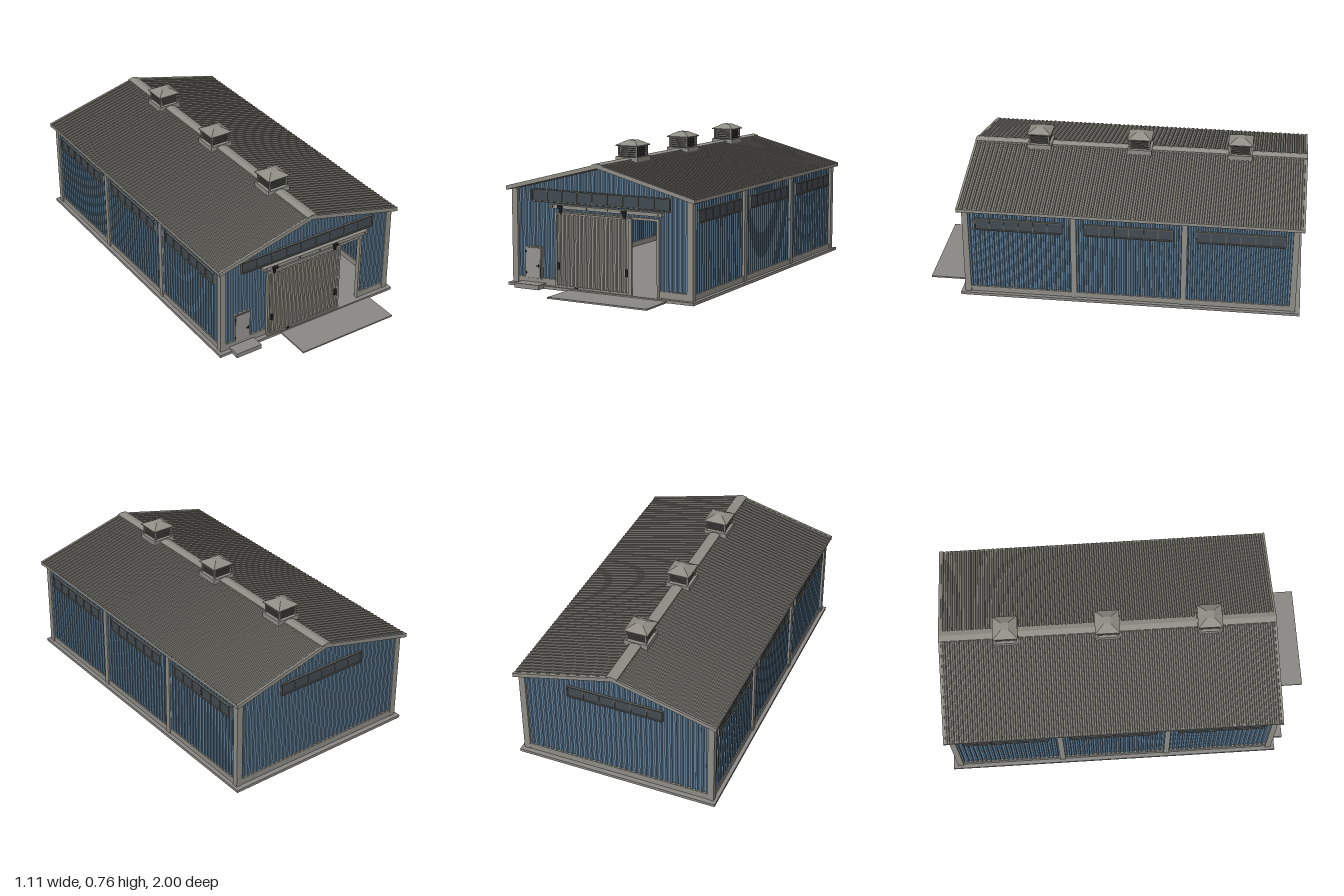
import * as THREE from 'three';

const mat = (name, color, side = THREE.FrontSide) => {
  const m = new THREE.MeshStandardMaterial({ color, side });
  m.name = name;
  return m;
};

export function createModel() {
  const M = {
    cladding: mat('blue cladding', 0x5f7c94, THREE.DoubleSide),
    trim: mat('grey trim', 0x8f8d85),
    roof: mat('roof sheet', 0x7c7a72, THREE.DoubleSide),
    door: mat('door sheet', 0x8f8c83, THREE.DoubleSide),
    concrete: mat('concrete', 0x8b8984),
    glass: mat('window glass', 0x424a51),
    frame: mat('window frame', 0x64645f),
    panel: mat('small door grey', 0x96948f),
    dark: mat('dark metal', 0x222324),
    louvre: mat('louvre grey', 0x5c5b56),
  };
  const model = new THREE.Group();
  model.name = 'warehouse';
  const building = new THREE.Group();
  building.name = 'building';
  building.position.z = -0.0975;
  model.add(building);

  const add = (name, geo, material, parent = building) => {
    const mesh = new THREE.Mesh(geo, material);
    mesh.name = name;
    parent.add(mesh);
    return mesh;
  };
  // Box given by its limits on each axis
  const box = (name, x0, x1, y0, y1, z0, z1, material, parent) => {
    const g = new THREE.BoxGeometry(x1 - x0, y1 - y0, z1 - z0);
    g.translate((x0 + x1) / 2, (y0 + y1) / 2, (z0 + z1) / 2);
    return add(name, g, material, parent);
  };
  const group = (name, parent = building) => {
    const g = new THREE.Group();
    g.name = name;
    parent.add(g);
    return g;
  };

  // Sheet facing +z with trapezoid ribs along y; top(x) gives its upper edge
  const ribbed = (x0, x1, pitch, depth, bottom, top) => {
    const n = Math.max(1, Math.round((x1 - x0) / pitch));
    const p = (x1 - x0) / n;
    const pts = [];
    for (let i = 0; i < n; i++) {
      for (const [t, d] of [[0, 0], [0.4, 0], [0.52, 1], [0.88, 1]]) pts.push([x0 + (i + t) * p, d * depth]);
    }
    pts.push([x1, 0]);
    const v = [];
    for (let i = 0; i < pts.length - 1; i++) {
      const [a, za] = pts[i], [b, zb] = pts[i + 1];
      const ta = top(a), tb = top(b);
      v.push(a, bottom, za, b, bottom, zb, b, tb, zb, a, bottom, za, b, tb, zb, a, ta, za);
    }
    const g = new THREE.BufferGeometry();
    g.setAttribute('position', new THREE.Float32BufferAttribute(v, 3));
    g.computeVertexNormals();
    return g;
  };

  // Band window centred on its group, facing +z
  const windowBand = (name, w, h, panes, parent) => {
    const g = group(name, parent);
    const x = w / 2, y = h / 2, f = 0.006;
    box('glass', -x, x, -y, y, 0, 0.006, M.glass, g);
    for (const s of [-1, 1]) {
      box('frameRail', -x, x, s * y - f / 2, s * y + f / 2, 0, 0.012, M.frame, g);
      box('frameEnd', s * x - f / 2, s * x + f / 2, -y, y, 0, 0.012, M.frame, g);
    }
    for (let i = 1; i < panes; i++) {
      const c = -x + (w * i) / panes;
      box('mullion', c - 0.002, c + 0.002, -y, y, 0, 0.01, M.frame, g);
    }
    return g;
  };

  // Ground slab, apron and doorstep
  box('floorSlab', -0.55, 0.55, 0, 0.015, -0.9025, 0.9, M.concrete);
  box('apron', -0.175, 0.4, 0, 0.008, 0.9, 1.0975, M.concrete);
  box('doorstep', -0.48, -0.33, 0, 0.025, 0.87, 0.947, M.concrete);

  // End walls
  const gable = (x) => 0.64 - 0.2545 * Math.abs(x);
  const front = group('frontWall');
  front.position.z = 0.864;
  for (const [a, b, y] of [[-0.505, -0.25, 0.045], [-0.25, 0, 0.4], [0, 0.34, 0.4], [0.34, 0.505, 0.045]]) {
    add('frontCladding', ribbed(a, b, 0.028, 0.008, y, gable), M.cladding, front);
  }
  box('plinthLeftOfDoor', -0.51, -0.25, 0.015, 0.05, -0.005, 0.012, M.trim, front);
  box('plinthRightOfDoor', 0.34, 0.51, 0.015, 0.05, -0.005, 0.012, M.trim, front);
  const back = group('backWall');
  back.position.z = -0.864;
  back.rotation.y = Math.PI;
  for (const [a, b] of [[-0.505, 0], [0, 0.505]]) {
    add('backCladding', ribbed(a, b, 0.028, 0.008, 0.045, gable), M.cladding, back);
  }
  box('backPlinth', -0.51, 0.51, 0.015, 0.05, -0.005, 0.012, M.trim, back);
  box('innerDarkPanel', -0.295, 0.295, 0.015, 0.265, -0.03, -0.022, M.dark, back);
  windowBand('frontWindow', 0.815, 0.062, 9, front).position.set(0, 0.484, 0.006);
  windowBand('backWindow', 0.52, 0.062, 6, back).position.set(0, 0.484, 0.006);

  // Long walls, each turned to face outward
  for (const s of [1, -1]) {
    const wall = group(s > 0 ? 'leftWall' : 'rightWall');
    wall.rotation.y = (s * Math.PI) / 2;
    wall.position.x = s * 0.518;
    add('sideCladding', ribbed(-0.86, 0.86, 0.025, 0.008, 0.04, () => 0.512), M.cladding, wall);
    box('sidePlinth', -0.86, 0.86, 0.015, 0.045, -0.005, 0.011, M.trim, wall);
    for (const c of [-0.29, 0.29]) box('wallColumn', c - 0.015, c + 0.015, 0.015, 0.51, -0.005, 0.016, M.trim, wall);
    for (const c of [-0.58, 0, 0.58]) windowBand('sideWindow', 0.46, 0.062, 6, wall).position.set(c, 0.428, 0.006);
    for (const e of [1, -1]) {
      const x = s * 0.518, z = e * 0.862;
      box('cornerPost', x - 0.017, x + 0.017, 0.015, 0.512, z - 0.016, z + 0.016, M.trim);
    }
  }

  // Roof: chevron core, ribbed sheets, end boards and eave boards
  const chevron = (hw, ridge, eave, thick, length) => {
    const s = new THREE.Shape();
    s.moveTo(-hw, eave - thick);
    s.lineTo(0, ridge - thick);
    s.lineTo(hw, eave - thick);
    s.lineTo(hw, eave);
    s.lineTo(0, ridge);
    s.lineTo(-hw, eave);
    s.closePath();
    return new THREE.ExtrudeGeometry(s, { depth: length, bevelEnabled: false }).translate(0, 0, -length / 2);
  };
  add('roofCore', chevron(0.55, 0.657, 0.517, 0.015, 1.79), M.roof);
  for (const e of [1, -1]) {
    add('gableBoard', chevron(0.555, 0.666, 0.5245, 0.022, 0.012), M.trim).position.z = e * 0.8965;
  }
  const slope = Math.atan2(0.14, 0.55), run = Math.hypot(0.14, 0.55);
  for (const s of [1, -1]) {
    const side = group(s > 0 ? 'leftRoof' : 'rightRoof');
    side.rotation.y = s > 0 ? 0 : Math.PI;
    const sheet = ribbed(-0.892, 0.892, 0.025, 0.007, 0, () => run);
    sheet.rotateX(slope - Math.PI / 2).rotateY(Math.PI / 2).translate(0.551, 0.5185, 0);
    add('roofSheet', sheet, M.roof, side);
    box('eaveBoard', 0.543, 0.553, 0.504, 0.521, -0.9, 0.9, M.trim, side);
  }
  add('ridgeCap', chevron(0.03, 0.671, 0.6635, 0.012, 1.804), M.trim);

  // Ridge ventilators
  for (const z of [0.543, -0.0025, -0.543]) {
    const vent = group('roofVent');
    vent.position.z = z;
    box('ventBase', -0.066, 0.066, 0.64, 0.674, -0.066, 0.066, M.trim, vent);
    box('ventCore', -0.047, 0.047, 0.674, 0.73, -0.047, 0.047, M.dark, vent);
    for (const a of [-1, 1]) {
      for (const b of [-1, 1]) {
        box('ventPost', a * 0.053 - 0.004, a * 0.053 + 0.004, 0.674, 0.731, b * 0.053 - 0.004, b * 0.053 + 0.004, M.trim, vent);
      }
    }
    for (let i = 0; i < 5; i++) {
      const y = 0.679 + i * 0.0108;
      box('ventSlat', -0.053, 0.053, y, y + 0.006, -0.053, 0.053, M.louvre, vent);
    }
    box('ventEave', -0.066, 0.066, 0.729, 0.734, -0.066, 0.066, M.trim, vent);
    const cap = new THREE.CylinderGeometry(0.02 * Math.SQRT2, 0.066 * Math.SQRT2, 0.025, 4).toNonIndexed();
    cap.computeVertexNormals();
    cap.rotateY(Math.PI / 4).translate(0, 0.7465, 0);
    add('ventCap', cap, M.trim, vent);
  }

  // Opening surround
  box('openingJamb', 0.333, 0.346, 0.015, 0.41, 0.855, 0.88, M.trim);
  box('openingJamb', -0.256, -0.243, 0.015, 0.41, 0.855, 0.88, M.trim);
  box('openingLintel', -0.256, 0.346, 0.398, 0.411, 0.855, 0.88, M.trim);

  // Sliding door on its overhead rail
  const slide = group('slidingDoor');
  slide.position.z = 0.885;
  add('doorSheet', ribbed(-0.25, 0.187, 0.026, 0.007, 0.022, () => 0.4), M.door, slide);
  box('doorEdge', -0.259, -0.248, 0.018, 0.405, -0.003, 0.009, M.trim, slide);
  box('doorEdge', 0.185, 0.196, 0.018, 0.405, -0.003, 0.009, M.trim, slide);
  box('doorTopEdge', -0.259, 0.196, 0.396, 0.405, -0.003, 0.009, M.trim, slide);
  box('doorBottomEdge', -0.259, 0.196, 0.016, 0.026, -0.003, 0.009, M.trim, slide);
  for (const x of [-0.234, 0.17]) box('doorHandle', x - 0.006, x + 0.006, 0.11, 0.146, 0.005, 0.016, M.dark, slide);
  for (const x of [-0.222, 0.156]) {
    box('hangerStrap', x - 0.006, x + 0.006, 0.4, 0.43, 0.004, 0.014, M.dark, slide);
    box('hangerRoller', x - 0.014, x + 0.014, 0.428, 0.441, 0.004, 0.022, M.dark, slide);
  }
  box('floorGuide', -0.14, -0.122, 0.008, 0.023, 0, 0.014, M.dark, slide);
  box('doorRail', -0.287, 0.369, 0.425, 0.444, -0.016, 0.011, M.trim, slide);
  for (const x of [-0.27, -0.065, 0.06, 0.35]) box('railBolt', x - 0.003, x + 0.003, 0.432, 0.438, 0.01, 0.014, M.dark, slide);

  // Small side door
  const entry = group('entryDoor');
  entry.position.z = 0.864;
  box('entryFrame', -0.453, -0.355, 0.04, 0.213, 0, 0.014, M.trim, entry);
  box('entryShadowGap', -0.448, -0.36, 0.046, 0.208, 0.01, 0.0148, M.dark, entry);
  box('entryLeaf', -0.446, -0.362, 0.048, 0.206, 0.01, 0.018, M.panel, entry);
  box('entryHandle', -0.381, -0.369, 0.11, 0.114, 0.018, 0.025, M.dark, entry);
  box('entryLatch', -0.372, -0.368, 0.106, 0.12, 0.018, 0.022, M.dark, entry);
  for (const y of [0.072, 0.185]) box('entryHinge', -0.449, -0.445, y - 0.006, y + 0.006, 0.01, 0.021, M.dark, entry);

  return model;
}
